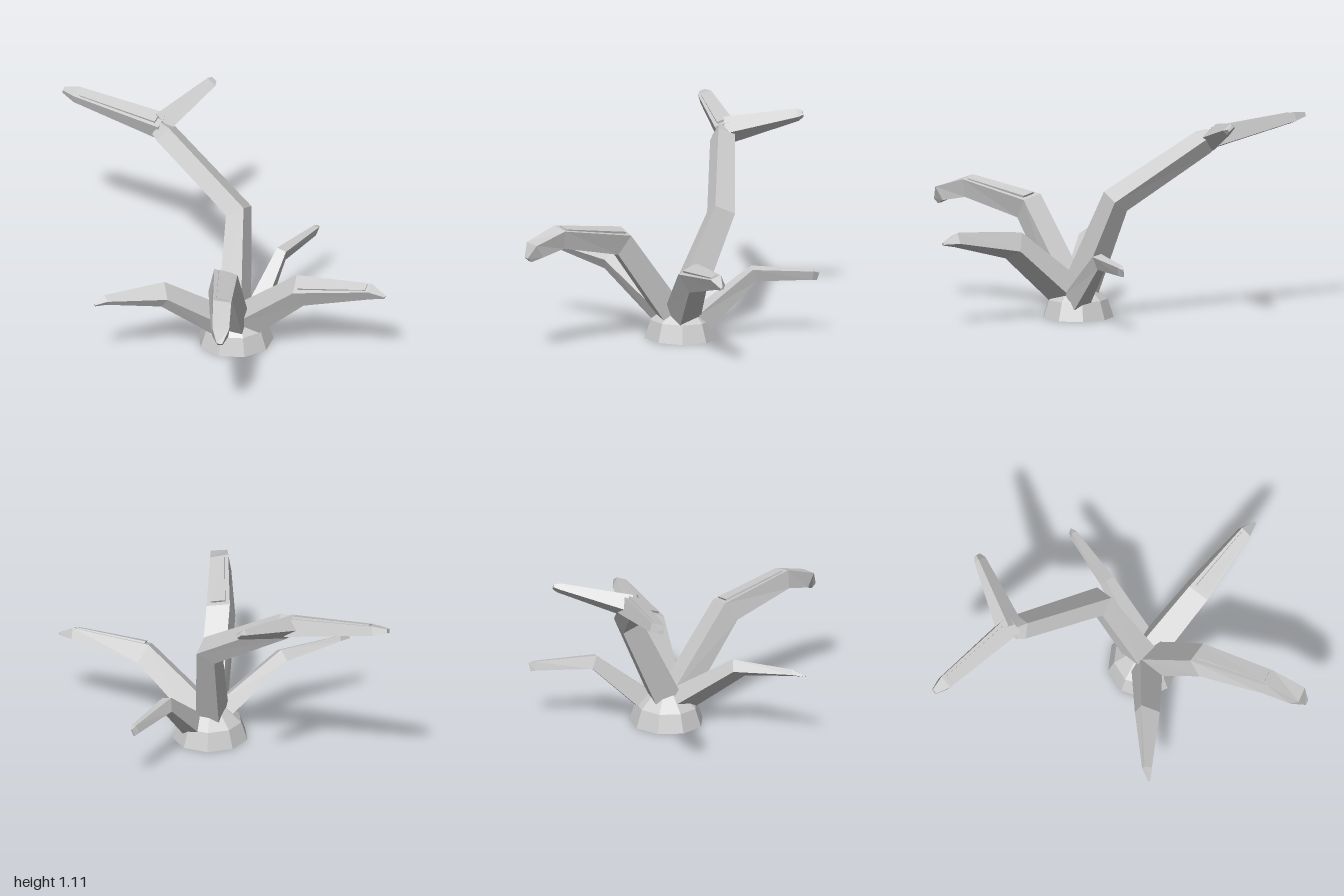
import * as THREE from 'three';

const material = new THREE.MeshStandardMaterial({ color: 0xcccccc, flatShading: true, side: THREE.DoubleSide });

// Sections are [x, y, z, width, height]; the rolled frame at the elbow is carried to the others
function frames(sections, rollDegrees) {
  const roll = THREE.MathUtils.degToRad(rollDegrees);
  const points = sections.map(s => new THREE.Vector3(s[0], s[1], s[2]));
  const dirs = points.slice(1).map((p, i) => p.clone().sub(points[i]).normalize());
  const tangents = points.map((p, i) =>
    dirs[Math.max(i - 1, 0)].clone().add(dirs[Math.min(i, dirs.length - 1)]).normalize());
  const side = new THREE.Vector3(0, 1, 0).cross(tangents[1]).normalize().applyAxisAngle(tangents[1], roll);
  return points.map((p, i) => {
    const u = side.clone().projectOnPlane(tangents[i]).normalize();
    const n = tangents[i].clone().cross(u);
    return { p, u, n, w: sections[i][3], h: sections[i][4] };
  });
}

// Four-sided skin through a list of frames, capped at both ends
function skin(rings, name) {
  const corners = [[1, 1], [-1, 1], [-1, -1], [1, -1]];
  const pos = [], index = [];
  for (const r of rings) {
    for (const [a, b] of corners) {
      const v = r.p.clone().addScaledVector(r.u, a * r.w / 2).addScaledVector(r.n, b * r.h / 2);
      pos.push(v.x, v.y, v.z);
    }
  }
  for (let k = 0; k < rings.length - 1; k++) {
    for (let i = 0; i < 4; i++) {
      const a = k * 4 + i, b = k * 4 + (i + 1) % 4;
      index.push(a, b, b + 4, a, b + 4, a + 4);
    }
  }
  const e = (rings.length - 1) * 4;
  index.push(0, 2, 1, 0, 3, 2, e, e + 1, e + 2, e, e + 2, e + 3);
  const g = new THREE.BufferGeometry();
  g.setAttribute('position', new THREE.Float32BufferAttribute(pos, 3));
  g.setIndex(index);
  const flat = g.toNonIndexed();
  flat.computeVertexNormals();
  const mesh = new THREE.Mesh(flat, material);
  mesh.name = name;
  return mesh;
}

// Thin raised strip lying on the upper face between two frames
function barkStrip(a, b, name) {
  const at = (f, lift) => {
    const n = a.n.clone().lerp(b.n, f).normalize();
    const w = THREE.MathUtils.lerp(a.w, b.w, f), h = THREE.MathUtils.lerp(a.h, b.h, f);
    return {
      p: a.p.clone().lerp(b.p, f).addScaledVector(n, h / 2 + lift / 2 - 0.005),
      u: a.u.clone().lerp(b.u, f).normalize(), n, w: w * 0.62, h: lift + 0.01,
    };
  };
  return skin([at(0.06, 0.012), at(0.95, 0.006)], name);
}

const branches = [
  { name: 'frontBranch', roll: -12, bark: 1, path: [
    [0.03, 0.14, 0.125, 0.135, 0.13], [-0.1, 0.572, 0.405, 0.13, 0.125],
    [-0.21, 0.648, 0.79, 0.10, 0.10], [-0.25, 0.6, 0.95, 0.09, 0.085], [-0.265, 0.55, 0.99, 0.03, 0.035]] },
  { name: 'leftBranch', roll: 25, bark: 1, path: [
    [0.11, 0.15, 0.12, 0.14, 0.14], [0.35, 0.417, 0.33, 0.125, 0.115],
    [0.69, 0.482, 0.54, 0.062, 0.062], [0.757, 0.466, 0.59, 0.015, 0.012]] },
  { name: 'rightBranch', roll: -30, path: [
    [-0.02, 0.135, 0.1, 0.14, 0.1], [-0.37, 0.39, 0.145, 0.115, 0.07],
    [-0.7, 0.425, 0.185, 0.045, 0.03], [-0.765, 0.414, 0.205, 0.012, 0.01]] },
  { name: 'backTwig', roll: 15, path: [
    [0.17, 0.11, 0.03, 0.1, 0.11], [0.37, 0.354, -0.17, 0.055, 0.075],
    [0.61, 0.345, -0.38, 0.03, 0.05], [0.63, 0.337, -0.4, 0.01, 0.045]] },
  { name: 'tallBranch', roll: 40, path: [
    [0.05, 0.14, 0.06, 0.15, 0.135], [0.135, 0.655, -0.178, 0.12, 0.11],
    [-0.17, 0.955, -0.57, 0.1, 0.1], [-0.2, 0.975, -0.61, 0.08, 0.08]] },
  { name: 'tallForkRight', roll: -18, bark: 0, path: [
    [-0.18, 0.977, -0.62, 0.11, 0.1], [-0.58, 1.053, -0.935, 0.075, 0.05], [-0.64, 1.064, -0.983, 0.03, 0.022]] },
  { name: 'tallForkLeft', roll: 40, path: [
    [-0.19, 0.982, -0.63, 0.115, 0.095], [0.14, 1.08, -0.832, 0.06, 0.035], [0.163, 1.087, -0.85, 0.035, 0.015]] },
];

export function createModel() {
  const model = new THREE.Group();

  // Stump: nine-sided foot with a shoulder rising to where the branches meet
  const stump = new THREE.Group();
  stump.name = 'stump';
  for (const [top, bottom, height, y] of [[0.172, 0.207, 0.1, 0], [0.07, 0.172, 0.09, 0.1]]) {
    const mesh = new THREE.Mesh(new THREE.CylinderGeometry(top, bottom, height, 9), material);
    mesh.name = y ? 'stumpShoulder' : 'stumpFoot';
    mesh.position.y = y + height / 2;
    stump.add(mesh);
  }
  stump.position.set(0.055, 0, 0.07);
  stump.scale.z = 0.94;
  model.add(stump);

  // Branches, some with a bark strip on one segment
  for (const { name, roll, path, bark } of branches) {
    const rings = frames(path, roll);
    model.add(skin(rings, name));
    if (bark !== undefined) model.add(barkStrip(rings[bark], rings[bark + 1], name + 'Bark'));
  }
  return model;
}
